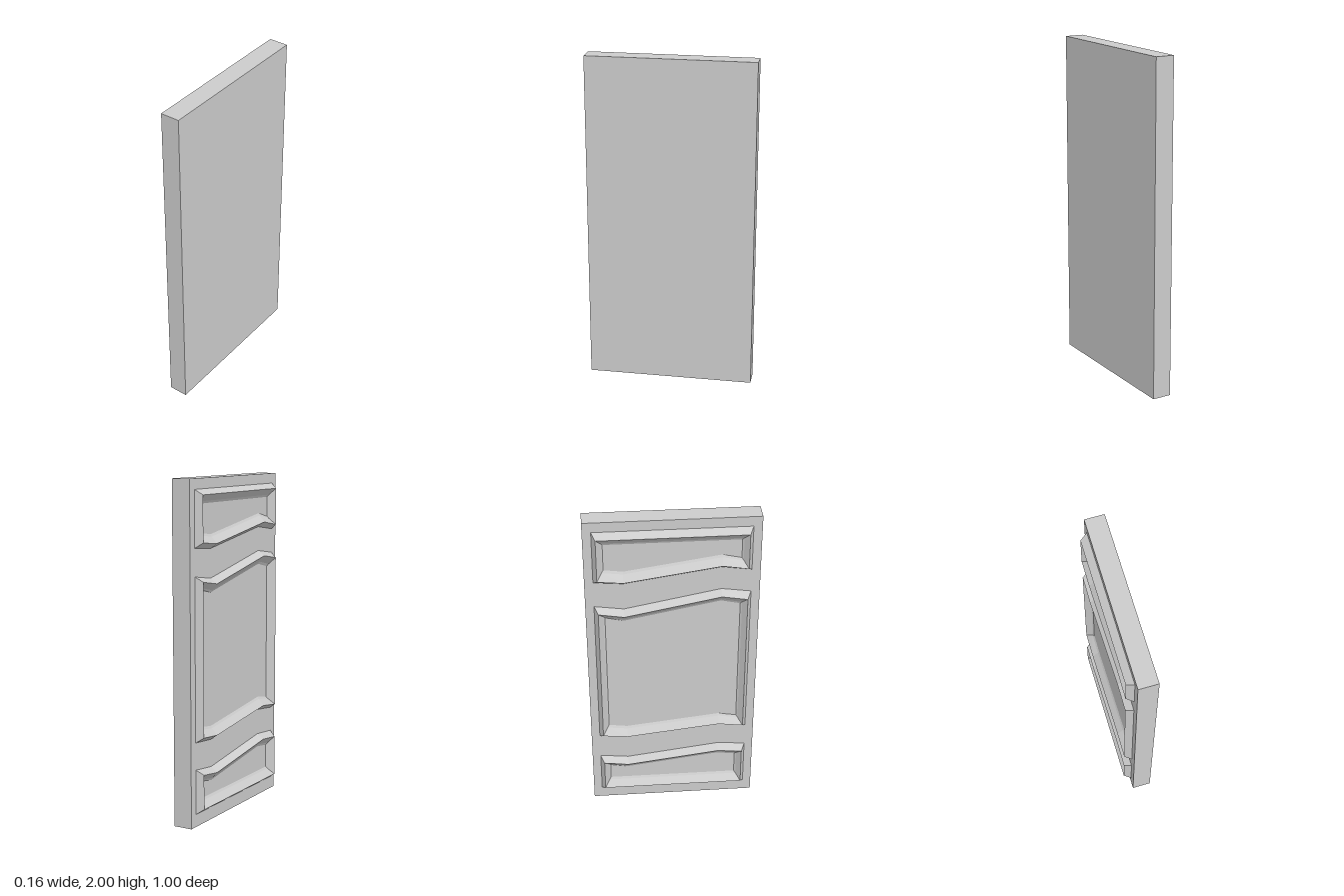
import * as THREE from 'three';

const FACE_X = -0.037; // plane of the moulded face
const KNEE_Z = 0.28;   // where the wavy rails bend
const END_Z = 0.45;

// Moulding section: [inset towards the panel, height above the face]
const PROFILE = [[0, 0], [0.022, 0.043], [0.05, 0.008], [0.06, 0]];

const material = new THREE.MeshStandardMaterial({ color: 0xcccccc, flatShading: true });

// One closed outline; top and bottom hold a height at each end and knee
function outline(top, bottom, [inset, height]) {
  const zs = [-END_Z + inset, -KNEE_Z, KNEE_Z, END_Z - inset];
  const x = FACE_X - height;
  const upper = zs.map((z, i) => [x, top[i] - inset * 1.35, z]);
  const lower = zs.map((z, i) => [x, bottom[i] + inset * 1.35, z]);
  return [...upper, ...lower.reverse()];
}

// Sweep the moulding section around the outline
function mouldingFrame(name, top, bottom) {
  const rings = PROFILE.map((p) => outline(top, bottom, p));
  const positions = [];
  for (let r = 0; r < rings.length - 1; r++) {
    const outer = rings[r], inner = rings[r + 1];
    for (let i = 0; i < outer.length; i++) {
      const j = (i + 1) % outer.length;
      positions.push(...outer[i], ...inner[i], ...inner[j]);
      positions.push(...outer[i], ...inner[j], ...outer[j]);
    }
  }
  const geometry = new THREE.BufferGeometry();
  geometry.setAttribute('position', new THREE.Float32BufferAttribute(positions, 3));
  geometry.computeVertexNormals();
  const mesh = new THREE.Mesh(geometry, material);
  mesh.name = name;
  return mesh;
}

export function createModel() {
  const group = new THREE.Group();
  group.name = 'panelledDoor';

  // Plain door slab
  const slab = new THREE.Mesh(new THREE.BoxGeometry(0.115, 2, 1), material);
  slab.name = 'doorSlab';
  slab.position.set(FACE_X + 0.0575, 1, 0);
  group.add(slab);

  // Three raised frames with wavy rails between them
  group.add(
    mouldingFrame('topFrame', [1.94, 1.94, 1.94, 1.94], [1.615, 1.6, 1.685, 1.66]),
    mouldingFrame('middleFrame', [1.455, 1.43, 1.54, 1.515], [0.5, 0.485, 0.55, 0.53]),
    mouldingFrame('bottomFrame', [0.34, 0.32, 0.395, 0.38], [0.075, 0.075, 0.075, 0.075]),
  );
  return group;
}
